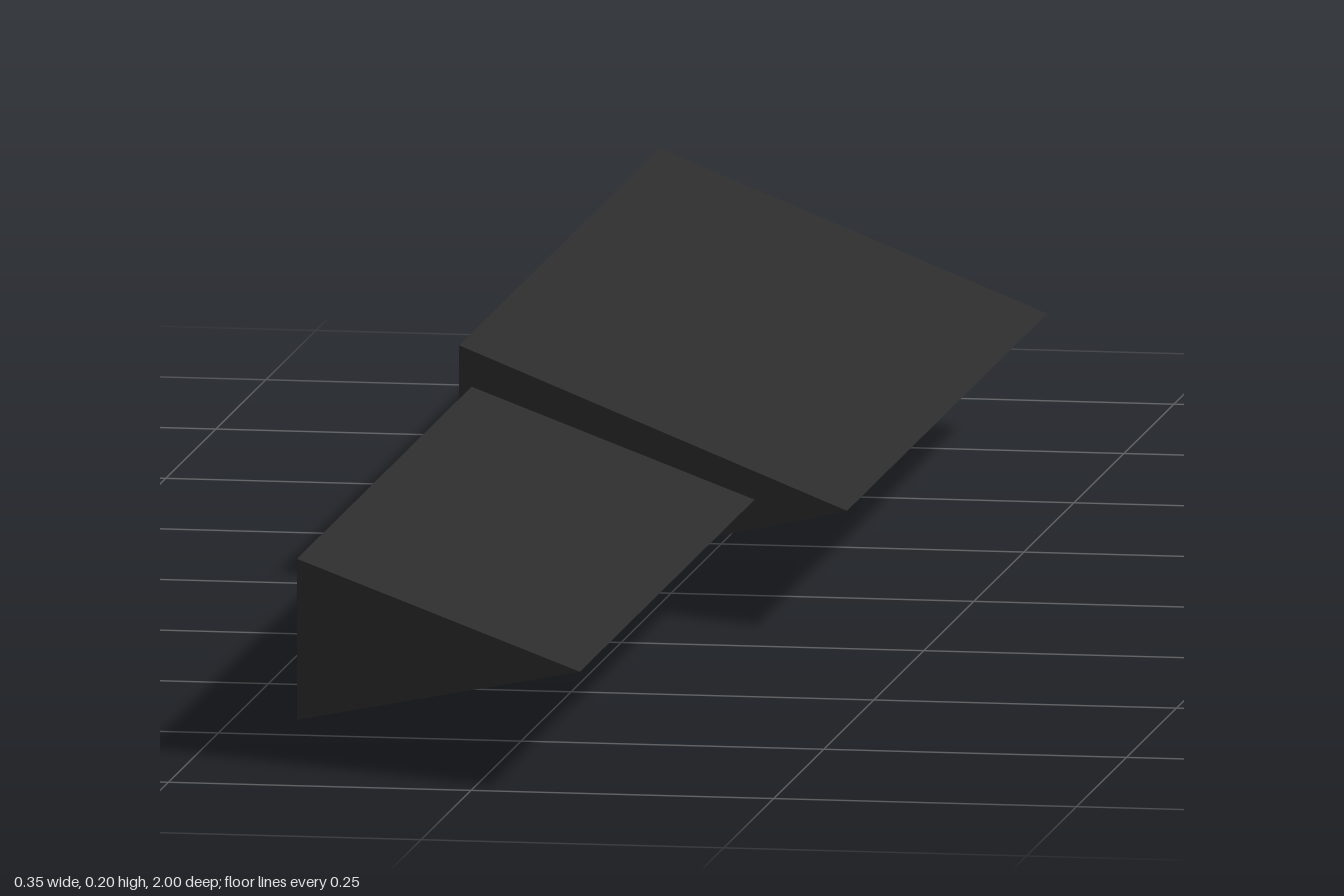
import * as THREE from 'three';

// Triangular bar with a flat upright side at x0, an edge at x1 and slanted parallel ends.
// zBack and zFront are measured along the upright side.
function slantedPrism(name, x0, x1, y0, y1, zBack, zFront, slant, material) {
  const shape = new THREE.Shape([
    new THREE.Vector2(x0, y0),
    new THREE.Vector2(x1, (y0 + y1) / 2),
    new THREE.Vector2(x0, y1),
  ]);
  const geometry = new THREE.ExtrudeGeometry(shape, { depth: zFront - zBack, bevelEnabled: false });
  const pos = geometry.attributes.position;
  for (let i = 0; i < pos.count; i++) {
    pos.setZ(i, pos.getZ(i) + zBack + (pos.getX(i) - x0) * slant);
  }
  geometry.computeVertexNormals();
  const mesh = new THREE.Mesh(geometry, material);
  mesh.name = name;
  return mesh;
}

export function createModel() {
  const group = new THREE.Group();
  group.name = 'slantedBar';
  const charcoal = new THREE.MeshStandardMaterial({ color: 0x2d2d2d });
  charcoal.name = 'charcoal';

  const slant = 0.482;
  // Thick rear section
  group.add(slantedPrism('thickSection', -0.175, 0.173, 0, 0.2, -1, 0, slant, charcoal));
  // Narrow front section, seated slightly inside the thick one
  group.add(slantedPrism('narrowSection', -0.164, 0.09, 0.034, 0.167, -0.01, 0.878, slant, charcoal));
  return group;
}
